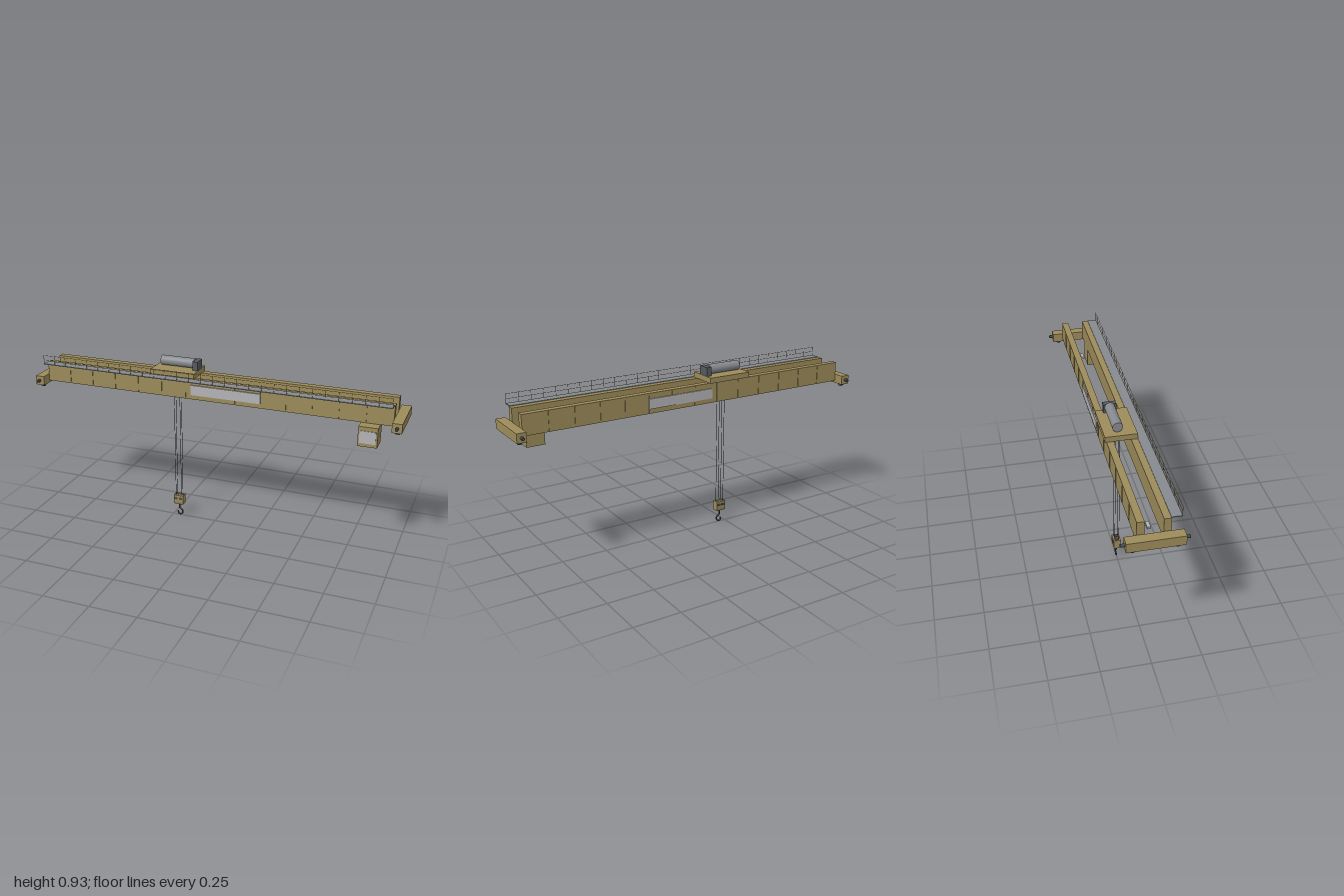
import * as THREE from 'three';

const mat = (color) => new THREE.MeshStandardMaterial({ color });
const gold = mat(0x9c8b5a), dark = mat(0x44474c), steel = mat(0x86898d);
const gear = mat(0x565b61), pale = mat(0xb4b4b8);

export function createModel() {
  const model = new THREE.Group();

  const add = (name, geometry, material, x = 0, y = 0, z = 0, parent = model) => {
    const mesh = new THREE.Mesh(geometry, material);
    mesh.name = name;
    mesh.position.set(x, y, z);
    parent.add(mesh);
    return mesh;
  };
  // box given by its limits on each axis
  const box = (name, material, [x0, x1], [y0, y1], [z0, z1], parent) =>
    add(name, new THREE.BoxGeometry(x1 - x0, y1 - y0, z1 - z0), material,
      (x0 + x1) / 2, (y0 + y1) / 2, (z0 + z1) / 2, parent);
  // cylinder along a chosen axis
  const rod = (name, material, axis, r, length, x, y, z, parent, sides = 20) => {
    const g = new THREE.CylinderGeometry(r, r, length, sides);
    if (axis === 'x') g.rotateZ(Math.PI / 2);
    if (axis === 'z') g.rotateX(Math.PI / 2);
    return add(name, g, material, x, y, z, parent);
  };
  const group = (name) => {
    const g = new THREE.Group();
    g.name = name;
    model.add(g);
    return g;
  };

  // twin bridge girders with web stiffeners and a side panel
  for (const s of [1, -1]) {
    const girder = group(s > 0 ? 'frontGirder' : 'backGirder');
    const span = (a, b) => (s > 0 ? [a, b] : [-b, -a]);
    box('girderBeam', gold, [-0.95, 0.95], [0.735, 0.842], span(0.043, 0.078), girder);
    for (let i = -6; i <= 6; i++) {
      const x = i * 0.1357;
      box('stiffener', gold, [x - 0.002, x + 0.002], [0.74, 0.837], span(0.077, 0.081), girder);
    }
    box('sidePanel', pale, [-0.105, 0.275], [0.76, 0.813], span(0.077, 0.084), girder);
  }

  // end carriages with wheels and buffers
  for (const s of [1, -1]) {
    const carriage = group(s > 0 ? 'leftEndCarriage' : 'rightEndCarriage');
    box('carriageBeam', gold, s > 0 ? [0.95, 1] : [-1, -0.95], [0.724, 0.773], [-0.135, 0.135], carriage);
    for (const e of [1, -1]) {
      rod('wheel', dark, 'x', 0.016, 0.018, s * 0.976, 0.723, e * 0.101, carriage);
      rod('buffer', dark, 'z', 0.008, 0.024, s * 0.976, 0.749, e * 0.144, carriage, 14);
    }
  }

  // service walkway and railing along the front girder
  const walkway = group('walkway');
  box('walkwayDeck', steel, [-0.947, 0.947], [0.841, 0.845], [0.076, 0.126], walkway);
  for (let i = 0; i < 30; i++) {
    rod('railPost', gold, 'y', 0.001, 0.05, -0.946 + (i * 1.892) / 29, 0.868, 0.125, walkway, 6);
  }
  for (const y of [0.867, 0.892]) rod('handRail', gold, 'x', 0.001, 1.892, 0, y, 0.125, walkway, 6);

  // trolley with hoist drum and gearbox
  const trolley = group('trolley');
  box('trolleyFrame', gold, [-0.335, -0.09], [0.842, 0.871], [-0.087, 0.076], trolley);
  rod('hoistDrum', steel, 'x', 0.026, 0.187, -0.2115, 0.9, -0.017, trolley, 28);
  box('gearbox', gear, [-0.12, -0.092], [0.871, 0.918], [-0.049, 0.017], trolley);

  // hoist ropes
  const hookX = -0.213;
  const hoist = group('hoist');
  for (const dx of [-0.016, 0.016]) {
    for (const z of [-0.011, 0.011]) {
      rod('rope', dark, 'y', 0.0012, 0.735, hookX + dx, 0.4825, z, hoist, 6);
    }
    rod('sheave', dark, 'x', 0.021, 0.02, hookX + dx * 0.85, 0.109, 0, hoist, 24);
  }

  // hook block, slightly narrower at its foot
  const profile = new THREE.Shape([[-0.0165, 0.073], [0.0165, 0.073], [0.0195, 0.09], [0.0195, 0.127], [-0.0195, 0.127], [-0.0195, 0.09]]
    .map(([a, b]) => new THREE.Vector2(a, b)));
  const blockGeo = new THREE.ExtrudeGeometry(profile, { depth: 0.055, bevelEnabled: false });
  blockGeo.rotateY(Math.PI / 2);
  add('hookBlock', blockGeo, gold, hookX - 0.0275, 0, 0, hoist);

  // hook: shank running into an open curl
  rod('hookShank', dark, 'y', 0.0045, 0.036, hookX, 0.06, 0, hoist, 12);
  const points = [[0, 0.046], [0.006, 0.039], [0.016, 0.031], [0.018, 0.018], [0.011, 0.007], [0.001, 0.0045], [-0.008, 0.011], [-0.0095, 0.019]]
    .map(([x, y]) => new THREE.Vector3(hookX + x, y, 0));
  add('hook', new THREE.TubeGeometry(new THREE.CatmullRomCurve3(points), 36, 0.0043, 10), dark, 0, 0, 0, hoist);
  add('hookTip', new THREE.SphereGeometry(0.0043, 10, 8), dark, hookX - 0.0095, 0.019, 0, hoist);

  // operator cab below the front girder
  const cab = group('operatorCab');
  box('cabBody', gold, [0.79, 0.887], [0.632, 0.735], [0.043, 0.134], cab);
  box('cabWindow', pale, [0.798, 0.879], [0.65, 0.714], [0.13, 0.137], cab);

  // lamps between the girders
  for (const x of [-0.85, 0, 0.72]) {
    box('lamp', pale, [x - 0.021, x + 0.021], [0.729, 0.741], [-0.01, 0.007]);
  }

  return model;
}
